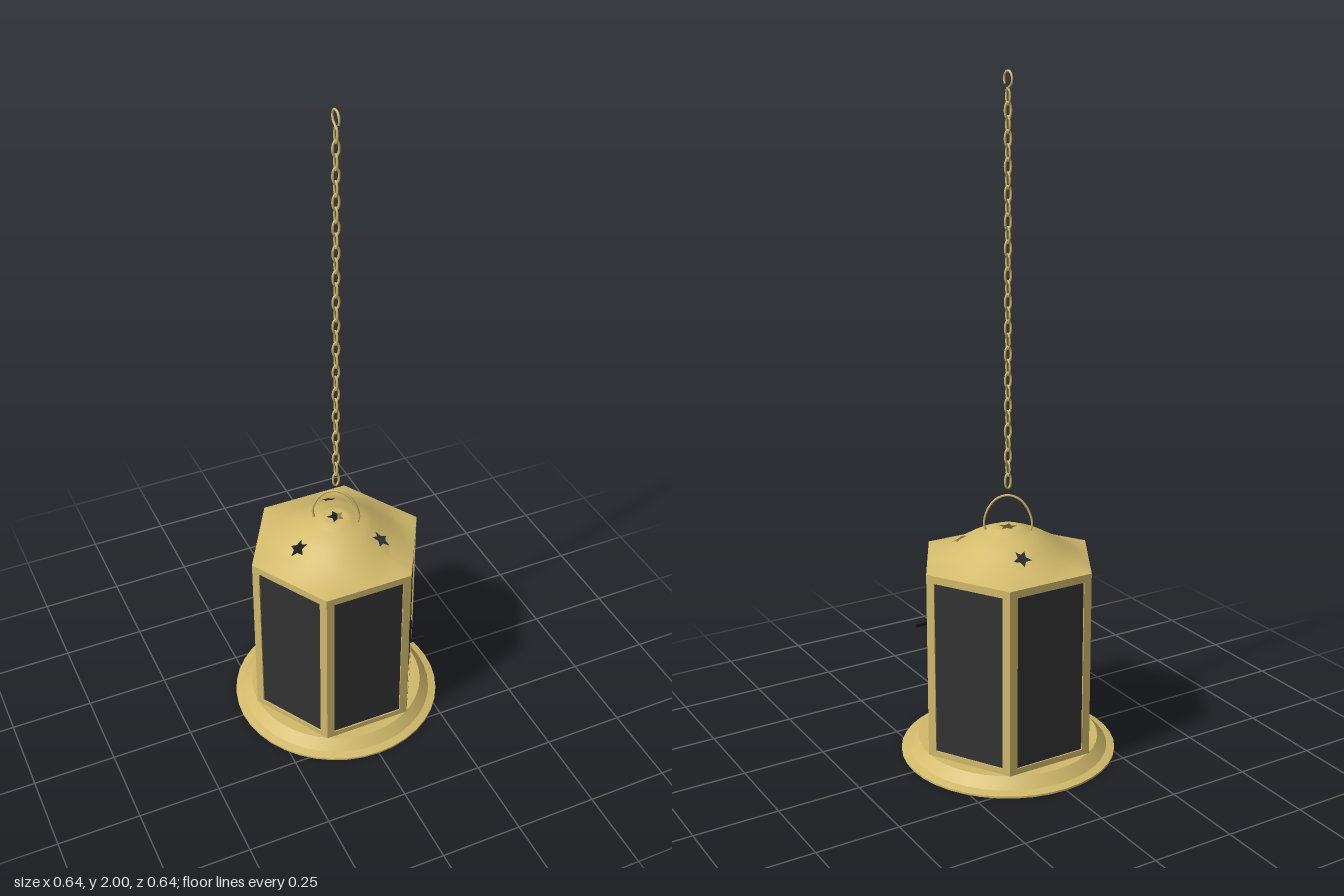
import * as THREE from 'three';
import { mergeVertices } from 'three/addons/utils/BufferGeometryUtils.js';

const brass = new THREE.MeshStandardMaterial({ color: 0xd3bb6c, side: THREE.DoubleSide });
brass.name = 'brass';
const darkGlass = new THREE.MeshStandardMaterial({ color: 0x333333, side: THREE.DoubleSide });
darkGlass.name = 'dark glass';
const black = new THREE.MeshStandardMaterial({ color: 0x1e1e1e });
black.name = 'latch black';

const HEX = 0.272, APOTHEM = HEX * Math.cos(Math.PI / 6);
const DEG = Math.PI / 180;

function add(parent, name, geometry, material) {
  const mesh = new THREE.Mesh(geometry, material);
  mesh.name = name;
  parent.add(mesh);
  return mesh;
}

// Five-pointed star outline, first point along +y
function starPoints(radius) {
  return Array.from({ length: 10 }, (_, i) => {
    const r = i % 2 ? radius * 0.48 : radius;
    const a = i * 36 * DEG;
    return new THREE.Vector2(r * Math.sin(a), r * Math.cos(a));
  });
}

// Roof surface: round dome that blends into a hexagonal rim
const roofProfile = [
  [0.036, 0.703], [0.05, 0.7], [0.058, 0.695], [0.07, 0.691], [0.09, 0.684], [0.105, 0.677],
  [0.12, 0.669], [0.14, 0.657], [0.16, 0.645], [0.18, 0.634], [0.2, 0.624], [0.225, 0.615], [0.25, 0.608],
];

function roofPoint(a, v) {
  let k = 0;
  while (k < roofProfile.length - 2 && v > roofProfile[k + 1][0]) k++;
  const [v0, y0] = roofProfile[k], [v1, y1] = roofProfile[k + 1];
  const y = y0 + (y1 - y0) * (v - v0) / (v1 - v0);
  const sector = ((a / DEG) % 60 + 60) % 60 - 30;
  const rim = APOTHEM / Math.cos(sector * DEG);
  const r = v > 0.2 ? 0.2 + (rim - 0.2) * (v - 0.2) / 0.05 : v;
  return [r * Math.cos(a), y, r * Math.sin(a)];
}

function roofGeometry() {
  const pos = [];
  const addShape = (outline, hole, map) => {
    const shape = new THREE.Shape(outline);
    shape.holes.push(new THREE.Path(hole));
    const flat = new THREE.ShapeGeometry(shape).toNonIndexed().attributes.position;
    for (let i = 0; i < flat.count; i++) pos.push(...map(flat.getX(i), flat.getY(i)));
  };
  const starAngles = [45, 165, 285];
  const rows = roofProfile.map(p => p[0]);
  const first = rows.indexOf(0.105), last = rows.indexOf(0.18);

  // Dome grid, leaving a window around each star
  for (let d = 0; d < 360; d += 5) {
    const inWindow = starAngles.some(s => d >= s - 15 && d < s + 15);
    for (let j = 0; j < rows.length - 1; j++) {
      if (inWindow && j >= first && j < last) continue;
      const a = d * DEG, b = (d + 5) * DEG;
      const p = roofPoint(a, rows[j]), q = roofPoint(b, rows[j]);
      const r = roofPoint(b, rows[j + 1]), s = roofPoint(a, rows[j + 1]);
      pos.push(...p, ...q, ...r, ...p, ...r, ...s);
    }
  }

  // Windows pierced by star holes, drawn in angle and radius
  for (const s of starAngles) {
    const outline = [];
    const corner = (d, v) => outline.push(new THREE.Vector2((s + d) * DEG, v));
    for (let d = -15; d < 15; d += 5) corner(d, rows[first]);
    for (let j = first; j < last; j++) corner(15, rows[j]);
    for (let d = 15; d > -15; d -= 5) corner(d, rows[last]);
    for (let j = last; j > first; j--) corner(-15, rows[j]);
    const hole = starPoints(0.027).map(p => new THREE.Vector2(s * DEG + p.x / 0.143, 0.143 + p.y));
    addShape(outline, hole, roofPoint);
  }

  // Crown disc with a star hole in the middle
  const crown = Array.from({ length: 72 }, (_, i) =>
    new THREE.Vector2(0.036 * Math.cos(i * 5 * DEG), 0.036 * Math.sin(i * 5 * DEG)));
  addShape(crown, starPoints(0.028), (x, y) => [x, 0.703, -y]);

  const geometry = new THREE.BufferGeometry();
  geometry.setAttribute('position', new THREE.Float32BufferAttribute(pos, 3));
  const merged = mergeVertices(geometry, 1e-4);
  merged.computeVertexNormals();
  return merged;
}

// Wire bent through a list of points
function wire(points, radius, closed = false, segments = 32) {
  const curve = new THREE.CatmullRomCurve3(points.map(p => new THREE.Vector3(...p)), closed);
  return new THREE.TubeGeometry(curve, segments, radius, 6, closed);
}

function rectangle(Type, w, y0, y1) {
  return new Type([[-w, y0], [w, y0], [w, y1], [-w, y1]].map(p => new THREE.Vector2(...p)));
}

export function createModel() {
  const lantern = new THREE.Group();
  lantern.name = 'hangingLantern';

  // Turned tray base, hollow underneath; doubled points keep the edges sharp
  const basePieces = [
    [[0.322, 0], [0.322, 0.006]],
    [[0.322, 0.006], [0.298, 0.012]],
    [[0.298, 0.012], [0.285, 0.026], [0.27, 0.042]],
    [[0.27, 0.042], [0.0001, 0.042]],
  ];
  const base = new THREE.Group();
  base.name = 'base';
  lantern.add(base);
  for (const piece of basePieces)
    add(base, 'baseSurface', new THREE.LatheGeometry(piece.map(p => new THREE.Vector2(...p)), 40), brass);
  const eyelet = add(base, 'baseEyelet', new THREE.TorusGeometry(0.014, 0.005, 8, 20), brass);
  eyelet.rotation.x = Math.PI / 2;
  eyelet.position.y = 0.04;

  // Six framed panes
  const half = HEX / 2;
  const frameShape = rectangle(THREE.Shape, half, 0.042, 0.608);
  frameShape.holes.push(rectangle(THREE.Path, 0.111, 0.06, 0.585));
  const frameGeometry = new THREE.ExtrudeGeometry(frameShape, { depth: 0.012, bevelEnabled: false });
  const paneGeometry = new THREE.PlaneGeometry(0.226, 0.53);
  for (let k = 0; k < 6; k++) {
    const side = new THREE.Group();
    side.name = 'side';
    side.rotation.y = k * Math.PI / 3;
    add(side, 'sideFrame', frameGeometry, brass).position.z = APOTHEM - 0.012;
    add(side, 'pane', paneGeometry, darkGlass).position.set(0, 0.3225, APOTHEM - 0.004);
    lantern.add(side);
  }

  // Roof
  add(lantern, 'roof', roofGeometry(), brass);

  // Door latch: upright pin and lever
  const pin = add(lantern, 'latchPin', new THREE.CylinderGeometry(0.004, 0.004, 0.09, 8), black);
  pin.position.set(0.139, 0.385, 0.236);
  const lever = add(lantern, 'latchLever', new THREE.BoxGeometry(0.046, 0.01, 0.007), black);
  lever.position.set(0.161, 0.345, 0.236);

  // Wire handle
  const arch = [[-0.064, 0.685, 0], [-0.07, 0.715, 0], [-0.059, 0.755, 0], [-0.034, 0.787, 0], [0, 0.799, 0],
    [0.034, 0.787, 0], [0.059, 0.755, 0], [0.07, 0.715, 0], [0.064, 0.685, 0]];
  add(lantern, 'handle', wire(arch, 0.0035), brass).rotation.y = -0.6;

  // Chain of oval links, every other one turned a quarter
  const linkPath = Array.from({ length: 12 }, (_, i) =>
    [0.0095 * Math.cos(i * 30 * DEG), 0.0222 * Math.sin(i * 30 * DEG), 0]);
  const linkGeometry = wire(linkPath, 0.0035, true, 20);
  const chain = new THREE.Group();
  chain.name = 'chain';
  lantern.add(chain);
  for (let i = -1; i < 29; i++) {
    const link = add(chain, 'chainLink', linkGeometry, brass);
    link.position.y = 1.892 - 0.0375 * i;
    link.rotation.y = i % 2 ? Math.PI / 2 : 0;
  }

  // Top hook
  const hookPath = [[0, 1.947, 0], [0, 1.954, -0.006], [0, 1.962, -0.017], [0, 1.978, -0.021], [0, 1.992, -0.013],
    [0, 1.9965, 0], [0, 1.991, 0.013], [0, 1.977, 0.02], [0, 1.962, 0.017]];
  add(lantern, 'hook', wire(hookPath, 0.0035), brass);

  return lantern;
}
